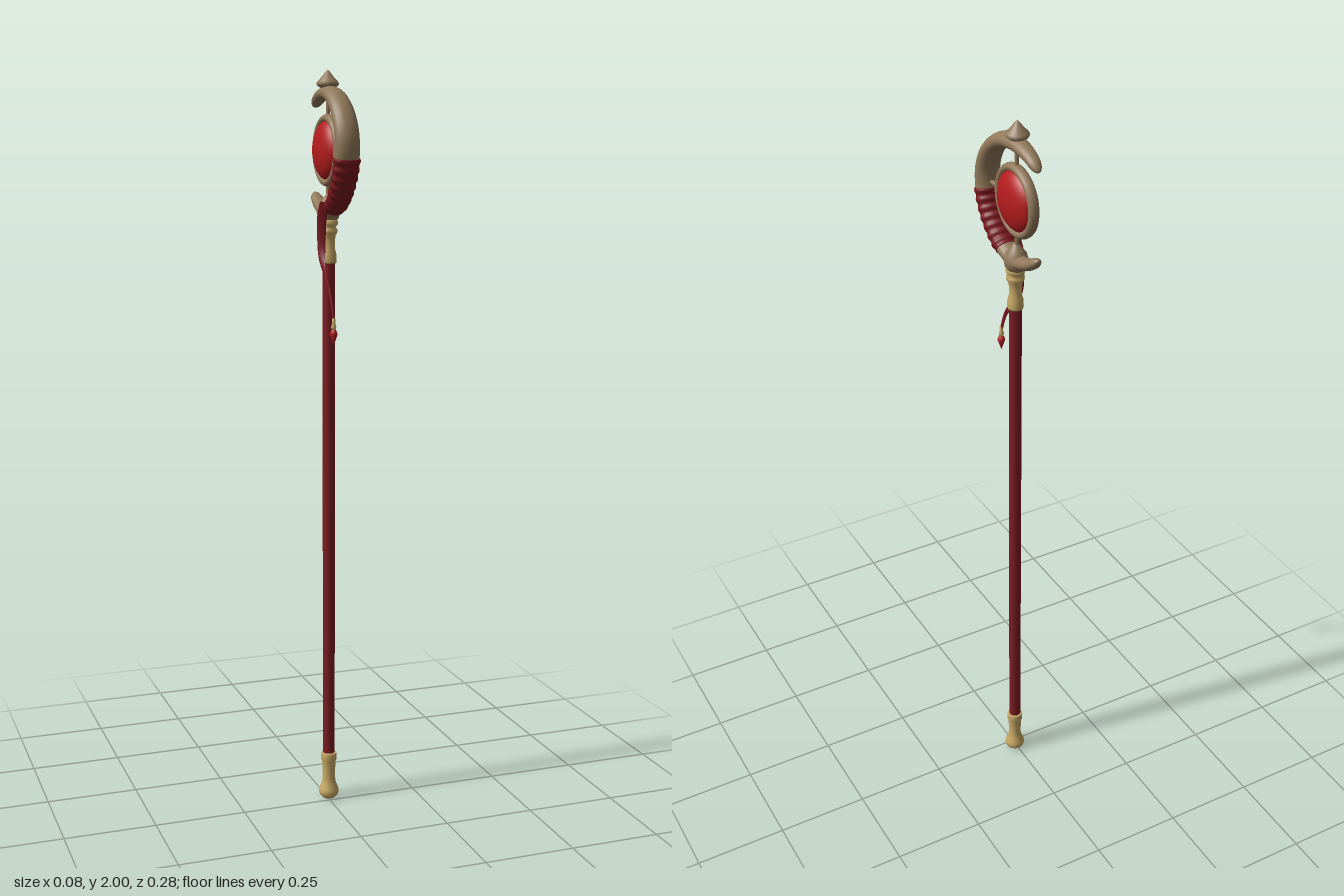
import * as THREE from 'three';

const mat = (name, color) => {
  const m = new THREE.MeshStandardMaterial({ color });
  m.name = name;
  return m;
};

// Sweeps an ellipse along a path; section(t) gives [half width in x, half depth, twist]
function sweep(points, section, t0 = 0, t1 = 1, rings = 72, sides = 20) {
  const curve = new THREE.CatmullRomCurve3(points.map((p) => new THREE.Vector3(...p)));
  const pos = [], index = [];
  const side = new THREE.Vector3(1, 0, 0);
  for (let i = 0; i <= rings; i++) {
    // rings are packed toward the ends so that they can be rounded
    const s = (1 - Math.cos((Math.PI * i) / rings)) / 2;
    const t = t0 + (t1 - t0) * s;
    const p = curve.getPointAt(t);
    const normal = curve.getTangentAt(t).cross(side).normalize();
    const [a, b, twist = 0] = section(t, s);
    for (let j = 0; j < sides; j++) {
      const q = (j / sides) * Math.PI * 2;
      const u = a * Math.cos(q), v = b * Math.sin(q);
      const x = u * Math.cos(twist) - v * Math.sin(twist);
      const n = u * Math.sin(twist) + v * Math.cos(twist);
      pos.push(p.x + x, p.y + normal.y * n, p.z + normal.z * n);
      if (i < rings) {
        const k = (j + 1) % sides, r = i * sides;
        index.push(r + j, r + k, r + sides + j, r + k, r + sides + k, r + sides + j);
      }
    }
  }
  const g = new THREE.BufferGeometry();
  g.setAttribute('position', new THREE.Float32BufferAttribute(pos, 3));
  g.setIndex(index);
  g.computeVertexNormals();
  return g;
}

const lathe = (profile, sides = 24) =>
  new THREE.LatheGeometry(profile.map(([r, y]) => new THREE.Vector2(r, y)), sides);

export function createModel() {
  const root = new THREE.Group();
  root.name = 'staff';

  const wood = mat('tan horn', 0x91795a);
  const gold = mat('pale gold', 0xc9aa66);
  const shaftRed = mat('dark red shaft', 0x7c1c22);
  const cloth = mat('dark red cloth', 0x7a181d);
  const gemRed = mat('bright red gem', 0xb41c1e);

  const add = (name, geometry, material, x = 0, y = 0, z = 0) => {
    const m = new THREE.Mesh(geometry, material);
    m.name = name;
    m.position.set(x, y, z);
    root.add(m);
    return m;
  };

  const CX = 0.004, SZ = -0.021, GZ = -0.027, GY = 1.795;

  // Shaft with its metal foot and neck
  add('shaft', new THREE.CylinderGeometry(0.0165, 0.0165, 1.4, 20), shaftRed, CX, 0.82, SZ);
  add('foot', lathe([
    [0, 0], [0.017, 0.002], [0.025, 0.01], [0.028, 0.02], [0.026, 0.03], [0.02, 0.045],
    [0.0175, 0.06], [0.018, 0.085], [0.019, 0.11], [0.022, 0.114], [0.022, 0.132],
    [0.02, 0.136], [0, 0.136],
  ]), gold, CX, 0, SZ);
  add('neck', lathe([
    [0, 1.503], [0.02, 1.503], [0.021, 1.508], [0.02, 1.528], [0.0165, 1.54], [0.016, 1.56],
    [0.018, 1.575], [0.023, 1.584], [0.023, 1.592], [0.018, 1.597], [0.024, 1.604],
    [0.024, 1.613], [0.019, 1.62], [0, 1.622],
  ]), gold, CX, 0, SZ);
  add('hub', lathe([
    [0, 1.612], [0.021, 1.612], [0.028, 1.622], [0.031, 1.636], [0.027, 1.655],
    [0.016, 1.668], [0.007, 1.682], [0, 1.685],
  ]), wood, CX, 0, -0.024);

  // Open crescent, thick at its back and narrowing to both horns
  const crescent = [
    [-0.133, 1.908], [-0.088, 1.932], [-0.024, 1.941], [0.034, 1.929], [0.088, 1.889],
    [0.117, 1.836], [0.119, 1.783], [0.103, 1.733], [0.072, 1.688], [0.034, 1.656],
    [-0.024, 1.637], [-0.077, 1.648], [-0.109, 1.664], [-0.135, 1.683],
  ].map(([z, y]) => [CX, y, z]);
  const thickness = (t) => {
    const k = Math.pow(Math.sin(Math.PI * t), 0.8);
    return [0.013 + 0.02 * k, 0.011 + 0.0125 * k];
  };
  add('crescent', sweep(crescent, (t) => {
    const e = Math.min(1, Math.min(t, 1 - t) / 0.04);
    const round = Math.sqrt(Math.max(0, 1 - (1 - e) ** 2));
    return thickness(t).map((r) => r * round);
  }), wood);

  // Cloth bound round the lower back of the crescent
  add('clothWrap', sweep(crescent, (t, s) => {
    const cap = s <= 0 || s >= 1 ? 0.8 : 1;
    const fold = 0.0022 + 0.0014 * Math.sin(((t - 0.52) / 0.235) * Math.PI * 14);
    return thickness(t).map((r) => (r + fold) * cap);
  }, 0.52, 0.755, 90), cloth);

  // Hanging ribbon that turns on its way down
  const ribbon = [
    [-0.022, 1.665, 0.025], [-0.027, 1.63, 0.016], [-0.028, 1.566, 0.013],
    [-0.029, 1.518, 0.021], [-0.03, 1.47, 0.056], [-0.031, 1.418, 0.095], [-0.031, 1.37, 0.115],
  ];
  add('ribbon', sweep(ribbon, (t) => [
    0.0135 - 0.008 * t, 0.0022, 0.45 + 1.12 * THREE.MathUtils.smoothstep(t, 0.3, 0.65),
  ], 0, 1, 48, 12), cloth);
  add('ribbonCap', lathe([
    [0, 1.343], [0.006, 1.345], [0.007, 1.352], [0.0045, 1.36], [0.005, 1.372], [0, 1.375],
  ], 12), gold, -0.031, 0, 0.117);
  add('ribbonBead', lathe([
    [0, 1.303], [0.005, 1.317], [0.0105, 1.333], [0.007, 1.342], [0, 1.349],
  ], 10), gemRed, -0.031, 0, 0.117);

  // Gem in a round frame, both facing sideways
  const gem = add('gem', new THREE.SphereGeometry(0.077, 32, 20), gemRed, CX, GY, GZ);
  gem.scale.x = 0.035 / 0.077;
  const frame = add('gemFrame', new THREE.TorusGeometry(0.0825, 0.011, 14, 48), wood, CX, GY, GZ);
  frame.rotation.y = Math.PI / 2;
  frame.scale.z = 1.3;

  // Thin rods that hold the frame
  const rod = (length) => new THREE.CylinderGeometry(0.0055, 0.0055, length, 12);
  add('upperRod', rod(0.07), wood, CX, 1.91, GZ);
  add('lowerRod', rod(0.05), wood, CX, 1.685, GZ);
  add('backRod', rod(0.055), wood, CX, GY, 0.082).rotation.x = Math.PI / 2;

  // Pointed finial over the crescent
  add('finial', lathe([
    [0, 1.952], [0.019, 1.954], [0.027, 1.959], [0.03, 1.964], [0.027, 1.97],
    [0.016, 1.981], [0.007, 1.993], [0, 2.0],
  ]), wood, CX, 0, -0.029);

  return root;
}
